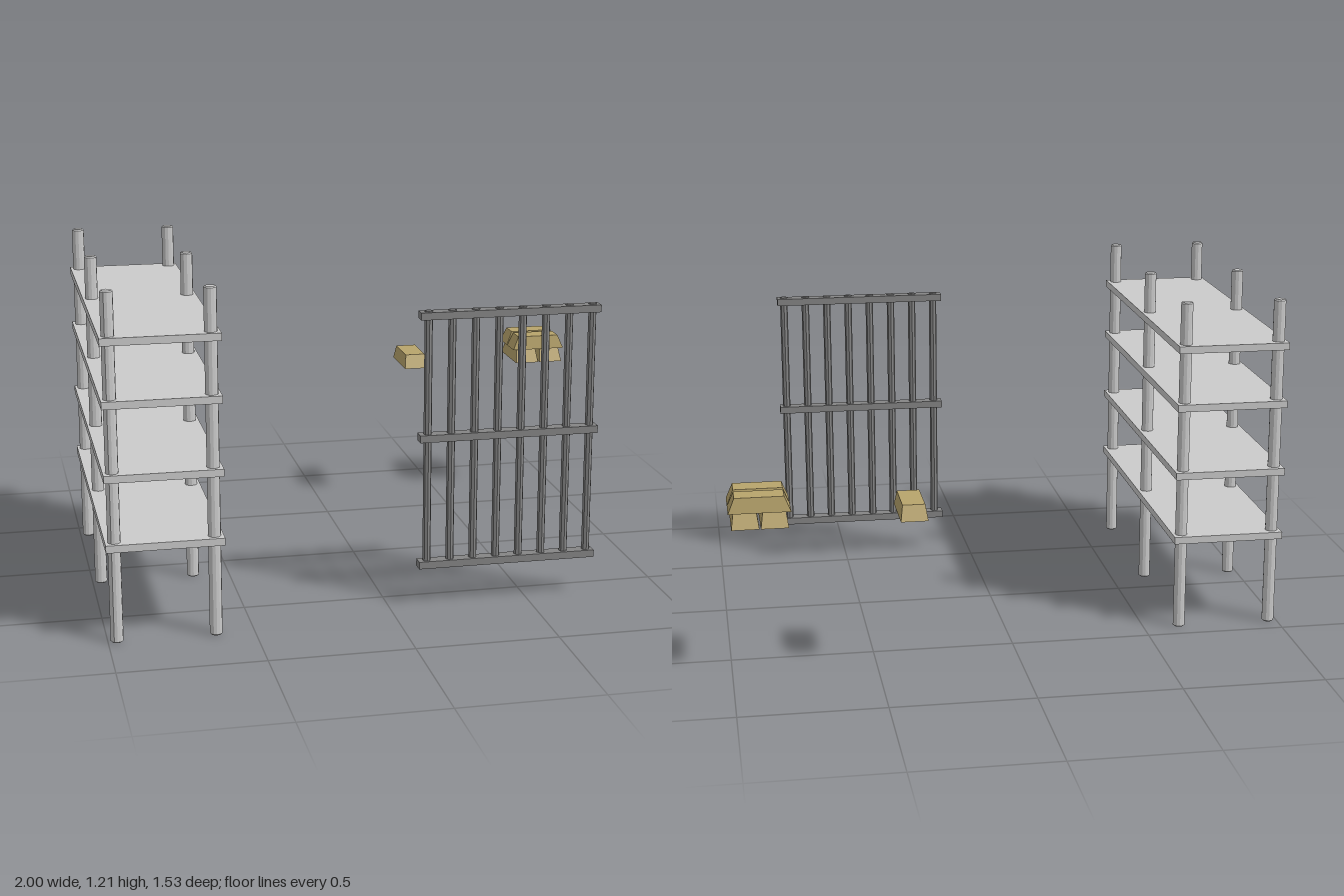
import * as THREE from 'three';

const grey = new THREE.MeshStandardMaterial({ color: 0xcccccc, flatShading: true });
const iron = new THREE.MeshStandardMaterial({ color: 0x858585, flatShading: true });
const gold = new THREE.MeshStandardMaterial({ color: 0xb8a46c, flatShading: true });

function add(parent, name, geometry, material, x, y, z) {
  const mesh = new THREE.Mesh(geometry, material);
  mesh.name = name;
  mesh.position.set(x, y, z);
  parent.add(mesh);
  return mesh;
}

function addGroup(parent, name) {
  const group = new THREE.Group();
  group.name = name;
  parent.add(group);
  return group;
}

// Upright rod with slightly bevelled ends, standing on its origin
function rod(radius, height, sides, bevel) {
  return new THREE.LatheGeometry([
    [0, 0], [radius - bevel, 0], [radius, bevel],
    [radius, height - bevel], [radius - bevel, height], [0, height],
  ].map(([x, y]) => new THREE.Vector2(x, y)), sides);
}

// Bar of metal, long in z, whose top face is smaller than its base
function ingotGeometry() {
  const g = new THREE.BoxGeometry(0.093, 0.053, 0.21);
  const p = g.attributes.position;
  for (let i = 0; i < p.count; i++) {
    if (p.getY(i) > 0) p.setXYZ(i, p.getX(i) * 0.83, p.getY(i), p.getZ(i) * 0.79);
  }
  g.computeVertexNormals();
  return g;
}

export function createModel() {
  const model = new THREE.Group();
  model.name = 'vaultFurnishings';

  // Shelving rack: four boards on six posts
  const rack = addGroup(model, 'shelvingRack');
  const board = new THREE.BoxGeometry(0.4, 0.026, 1.216);
  for (const y of [0.339, 0.58, 0.831, 1.043]) add(rack, 'shelf', board, grey, -0.8, y, 0.153);
  const post = rod(0.022, 1.208, 12, 0.004);
  for (const x of [-0.969, -0.632]) {
    for (const z of [-0.417, 0.13, 0.725]) add(rack, 'post', post, grey, x, 0, z);
  }

  // Barred gate: three rails and eight round bars
  const gate = addGroup(model, 'barredGate');
  const rail = new THREE.BoxGeometry(0.642, 0.026, 0.045);
  for (const y of [0.15, 0.611, 1.045]) add(gate, 'rail', rail, iron, 0.426, y, 0.594);
  const bar = rod(0.0145, 0.917, 8, 0.002);
  for (let i = 0; i < 8; i++) add(gate, 'bar', bar, iron, 0.136 + i * 0.0836, 0.145, 0.594);

  // Single ingot
  const ingot = ingotGeometry();
  add(model, 'singleIngot', ingot, gold, 0.379, 0.59, -0.66);

  // Stack of ingots: two along z, two laid across them
  const stack = addGroup(model, 'ingotStack');
  for (const side of [-1, 1]) {
    add(stack, 'lowerIngot', ingot, gold, 0.894 + side * 0.049, 0.59, -0.66);
    add(stack, 'upperIngot', ingot, gold, 0.894, 0.643, -0.66 + side * 0.049).rotation.y = Math.PI / 2;
  }

  return model;
}
